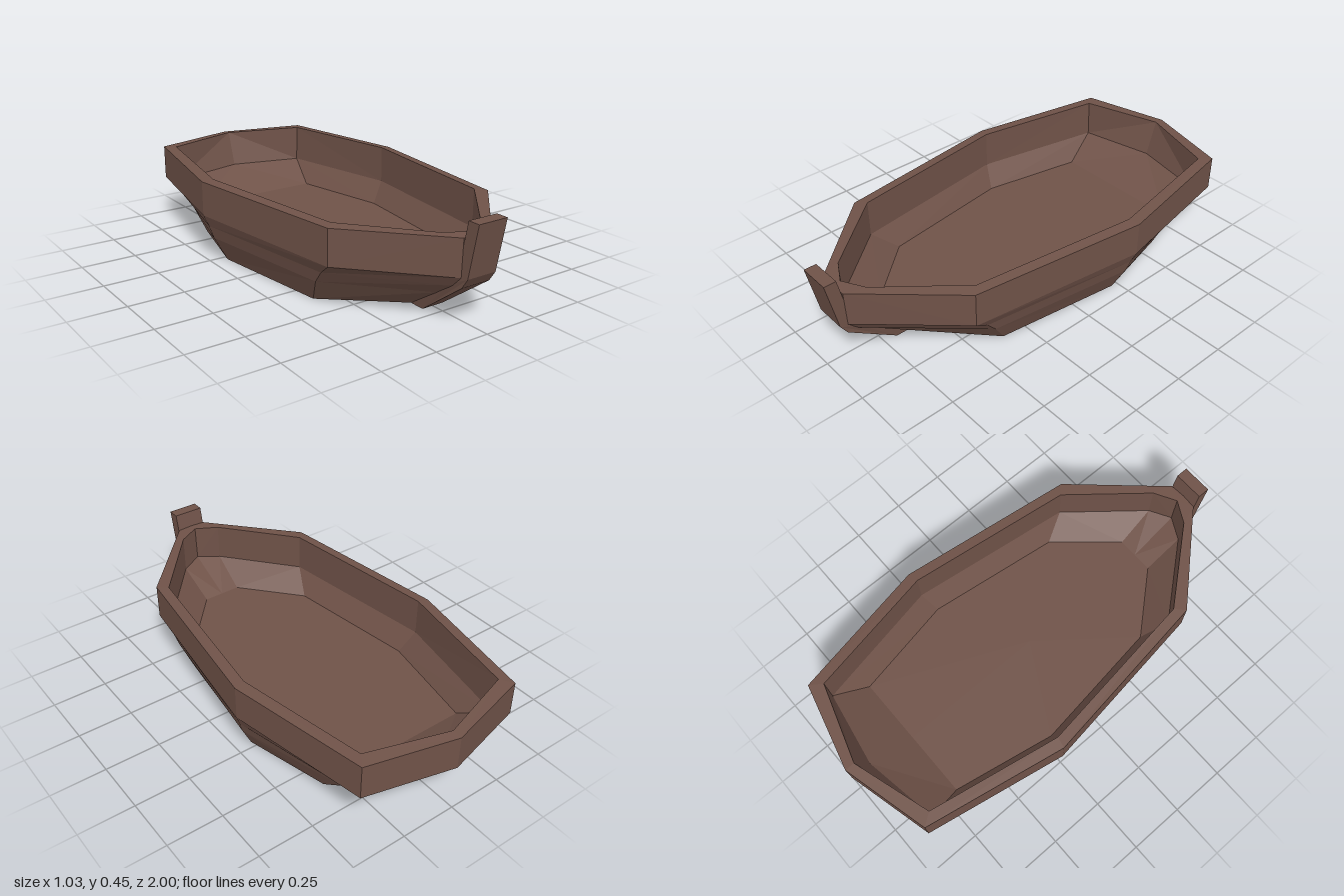
import * as THREE from 'three';

const wood = new THREE.MeshStandardMaterial({ color: 0x6f5248, flatShading: true });
const floorY = 0.108;

// Half outlines [x, y, z] run from the stern centre round the left side to the bow centre.
const bottom = [[0, 0, -0.6], [0.33, 0, -0.6], [0.427, 0, -0.22], [0.352, 0, 0.36], [0.05, 0, 0.62], [0, 0, 0.62]];
const bilge = [[0, 0.095, -0.72], [0.34, 0.097, -0.72], [0.48, 0.108, -0.24], [0.387, 0.108, 0.43], [0.06, 0.107, 0.785], [0, 0.107, 0.785]];
const chine = [[0, 0.17, -0.94], [0.365, 0.16, -0.81], [0.497, 0.165, -0.25], [0.395, 0.165, 0.48], [0.07, 0.17, 0.875], [0, 0.17, 0.875]];
const sideFoot = [[0, 0.217, -1], [0.395, 0.215, -0.9], [0.517, 0.215, -0.26], [0.412, 0.215, 0.55], [0.07, 0.215, 0.92], [0, 0.215, 0.925]];
const rimOuter = [[0, 0.372, -1], [0.395, 0.372, -0.9], [0.517, 0.37, -0.26], [0.412, 0.372, 0.55], [0.07, 0.374, 0.925], [0, 0.374, 0.93]];
const rimInner = [[0, 0.376, -0.955], [0.355, 0.376, -0.845], [0.467, 0.376, -0.25], [0.37, 0.376, 0.51], [0.1, 0.376, 0.835], [0, 0.376, 0.89]];
const wallFoot = [[0, 0.215, -0.905], [0.35, 0.205, -0.845], [0.467, 0.205, -0.25], [0.37, 0.205, 0.51], [0.1, 0.205, 0.835], [0, 0.215, 0.885]];
const floor = [[0, -0.69], [0.31, -0.69], [0.4, -0.22], [0.32, 0.4], [0.09, 0.665], [0, 0.665]].map(([x, z]) => [x, floorY, z]);

// Complete a half outline with its mirror image
function mirrored(half) {
  const other = half.slice(1, -1).reverse().map(([x, y, z]) => [-x, y, z]);
  return [...half, ...other];
}

// Join closed rings, in order, with flat triangles whose diagonals mirror across the keel
function loft(rings) {
  const positions = [];
  for (let i = 0; i < rings.length - 1; i++) {
    const n = rings[i].length;
    for (let j = 0; j < n; j++) {
      const k = (j + 1) % n;
      const a = rings[i][j], b = rings[i][k], c = rings[i + 1][k], d = rings[i + 1][j];
      if (j < n / 2) positions.push(...a, ...d, ...c, ...a, ...c, ...b);
      else positions.push(...a, ...d, ...b, ...b, ...d, ...c);
    }
  }
  const geometry = new THREE.BufferGeometry();
  geometry.setAttribute('position', new THREE.Float32BufferAttribute(positions, 3));
  geometry.computeVertexNormals();
  return geometry;
}

// A flat cap is a fan: a ring collapsed to one point
const collapsed = (y) => Array.from({ length: 10 }, () => [0, y, 0]);

function part(name, geometry) {
  const mesh = new THREE.Mesh(geometry, wood);
  mesh.name = name;
  return mesh;
}

// Curved stem post, drawn as a side profile (z, y) and narrowed towards the keel
function stemGeometry() {
  const profile = [[0.62, 0], [0.69, 0], [0.925, 0.175], [0.955, 0.22], [1, 0.447],
    [0.945, 0.447], [0.93, 0.372], [0.9, 0.22], [0.865, 0.175]];
  const shape = new THREE.Shape(profile.map(([z, y]) => new THREE.Vector2(z, y)));
  const geometry = new THREE.ExtrudeGeometry(shape, { depth: 0.14, bevelEnabled: false });
  geometry.translate(0, 0, -0.07).rotateY(-Math.PI / 2);
  const p = geometry.attributes.position;
  for (let i = 0; i < p.count; i++) {
    const t = Math.min(1, p.getY(i) / 0.175);
    p.setX(i, p.getX(i) * (0.75 + 0.25 * t));
  }
  geometry.computeVertexNormals();
  return geometry;
}

export function createModel() {
  const boat = new THREE.Group();
  boat.name = 'rowingBoat';

  const [keel, low, mid, foot, outer, inner, wall, deck] =
    [bottom, bilge, chine, sideFoot, rimOuter, rimInner, wallFoot, floor].map(mirrored);

  boat.add(part('hull', loft([collapsed(0), keel, low, mid, foot, outer])));
  boat.add(part('rim', loft([outer, inner])));
  boat.add(part('innerLining', loft([inner, wall, deck, collapsed(floorY)])));
  boat.add(part('stemPost', stemGeometry()));
  return boat;
}
